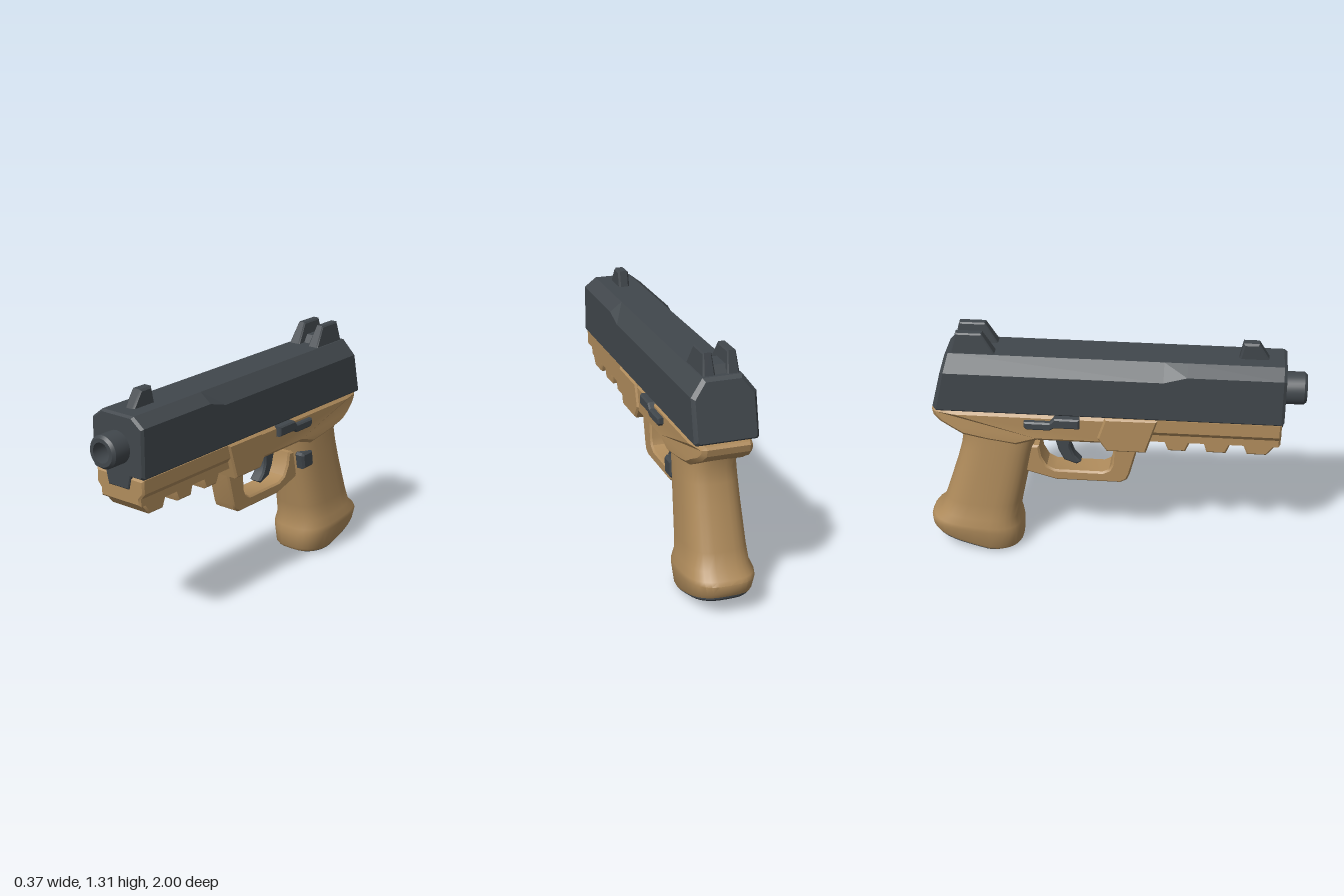
import * as THREE from 'three';
import { toCreasedNormals } from 'three/addons/utils/BufferGeometryUtils.js';

const material = (name, color) => {
  const m = new THREE.MeshStandardMaterial({ color });
  m.name = name;
  return m;
};

// Side profile of [z, y] points, extruded to a width across x with bevelled edges
function sideGeometry(points, width, bevel = 0.01) {
  const shape = new THREE.Shape(points.map(([z, y]) => new THREE.Vector2(z, y)));
  const depth = width - 2 * bevel;
  return new THREE.ExtrudeGeometry(shape, {
    depth, bevelEnabled: true, bevelSize: bevel, bevelThickness: bevel, bevelOffset: -bevel, bevelSegments: 1,
  }).translate(0, 0, -depth / 2).rotateY(-Math.PI / 2);
}

// Front section of [x, y] points, extruded from z0 to z1
function frontGeometry(points, z0, z1, bevel = 0.01) {
  const shape = new THREE.Shape(points.map(([x, y]) => new THREE.Vector2(x, y)));
  return new THREE.ExtrudeGeometry(shape, {
    depth: z1 - z0 - 2 * bevel, bevelEnabled: true, bevelSize: bevel, bevelThickness: bevel,
    bevelOffset: -bevel, bevelSegments: 1,
  }).translate(0, 0, z0 + bevel);
}

// Mirrors the right half of a section across x
const mirrored = (half) => [...half, ...half.map(([x, y]) => [-x, y]).reverse()];

// Moves x of every vertex by a rule
function reshapeX(geometry, rule) {
  const p = geometry.attributes.position;
  for (let i = 0; i < p.count; i++) p.setX(i, rule(p.getX(i), p.getY(i), p.getZ(i)));
  return geometry;
}

// Skin over rings of [x, y, z] points, closed by a fan at both ends
function loft(rings) {
  const n = rings[0].length, last = rings.length - 1;
  const position = rings.flat(2), index = [];
  for (let i = 0; i < last; i++) {
    for (let j = 0; j < n; j++) {
      const a = i * n + j, b = i * n + (j + 1) % n;
      index.push(a, b, b + n, a, b + n, a + n);
    }
  }
  for (const i of [0, last]) {
    const centre = position.length / 3;
    for (let k = 0; k < 3; k++) position.push(rings[i].reduce((s, p) => s + p[k], 0) / n);
    for (let j = 0; j < n; j++) {
      const a = i * n + j, b = i * n + (j + 1) % n;
      if (i === 0) index.push(centre, b, a);
      else index.push(centre, a, b);
    }
  }
  const g = new THREE.BufferGeometry();
  g.setAttribute('position', new THREE.Float32BufferAttribute(position, 3));
  g.setIndex(index);
  return g;
}

// Rounded grip ring; the part in front of the kink stays level
function gripRing([zFront, yFront, zBack, yBack, halfWidth], kink) {
  const ring = [], count = 32, power = 2 / 2.9;
  const round = (v) => Math.sign(v) * Math.abs(v) ** power;
  for (let i = 0; i < count; i++) {
    const a = (i / count) * Math.PI * 2;
    const c = round(Math.cos(a));
    const t = (1 - c) / 2;
    const rise = Math.max(0, (t - kink) / (1 - kink));
    ring.push([
      halfWidth * round(Math.sin(a)),
      yFront + (yBack - yFront) * rise,
      zFront + (zBack - zFront) * t,
    ]);
  }
  return ring;
}

export function createModel() {
  const model = new THREE.Group();
  const dark = material('dark gunmetal', 0x41474c);
  const tan = material('desert tan', 0xb08c5c);

  const add = (name, geometry, mat, x = 0, crease = 0.5) => {
    const mesh = new THREE.Mesh(toCreasedNormals(geometry, crease), mat);
    mesh.name = name;
    mesh.position.x = x;
    model.add(mesh);
  };

  // Slide: rear to front, [z, backward slant, chamfer height, scale]
  const slideRings = [
    [-0.86, 0.07, 1.125, 0.9], [-0.84, 0.07, 1.125, 1], [0.27, 0, 1.125, 1],
    [0.39, 0, 1.16, 1], [0.875, 0, 1.16, 1], [0.89, 0, 1.16, 0.94],
  ].map(([z, slant, chamfer, s]) =>
    mirrored([[0.155, 0.9], [0.165, 0.91], [0.165, chamfer], [0.1, 1.21]]).map(([x, y]) => [
      x * s, 1.05 + (y - 1.05) * s, z - slant * (1.21 - y) / 0.31,
    ]));
  add('slide', loft(slideRings), dark, 0, 0.15);
  add('slideTongue', frontGeometry(mirrored([[0.065, 0.835], [0.085, 0.92]]), 0.75, 0.89, 0.005), dark);

  // Barrel with an open bore
  const barrel = [[0.085, 0.85], [0.085, 0.985], [0.072, 1], [0.052, 1], [0.052, 0.91], [0, 0.91]];
  add('barrel', new THREE.LatheGeometry(barrel.map(([r, h]) => new THREE.Vector2(r, h)), 32)
    .rotateX(Math.PI / 2).translate(0, 1.04, 0), dark);

  // Sights
  add('frontSight', sideGeometry([[0.805, 1.2], [0.745, 1.295], [0.665, 1.295], [0.645, 1.2]], 0.06), dark);
  for (const side of [-1, 1]) {
    const blade = sideGeometry([[-0.595, 1.2], [-0.665, 1.317], [-0.8, 1.317], [-0.83, 1.2]], 0.066, 0.008);
    add('rearSightBlade', reshapeX(blade, (x, y) => x * (1 - 3 * (y - 1.2))), dark, side * 0.061);
  }
  add('rearSightBase', sideGeometry([[-0.64, 1.2], [-0.68, 1.25], [-0.79, 1.25], [-0.82, 1.2]], 0.1, 0.005), dark);

  // Dust cover and accessory rail
  add('dustCover', frontGeometry(
    mirrored([[0.13, 0.755], [0.13, 0.795], [0.155, 0.825], [0.155, 0.897]]), 0.18, 0.88), tan);
  for (const [a, b, c, d] of [[0.85, 0.81, 0.71, 0.69], [0.62, 0.6, 0.5, 0.485], [0.41, 0.39, 0.3, 0.28]]) {
    add('railTooth', sideGeometry([[a, 0.77], [a, 0.75], [b, 0.7], [c, 0.7], [d, 0.75], [d, 0.77]], 0.26), tan);
  }

  // Frame: wide middle block, and rear body narrowing towards the tang
  add('frameBlock', sideGeometry(
    [[0.245, 0.897], [0.185, 0.7], [-0.02, 0.7], [-0.07, 0.775], [-0.03, 0.897]], 0.33), tan);
  const rearBody = sideGeometry([
    [0, 0.897], [0, 0.735], [-0.39, 0.735], [-0.5, 0.7], [-0.65, 0.722], [-0.78, 0.75], [-0.84, 0.785],
    [-0.9, 0.815], [-0.935, 0.85], [-0.942, 0.885], [-0.93, 0.897], [-0.82, 0.897],
  ], 0.31, 0.02);
  add('rearFrame', reshapeX(rearBody, (x, y, z) => x * (1 - 1.6 * Math.max(0, -0.82 - z))), tan);

  // Trigger guard and trigger
  add('triggerGuard', sideGeometry([
    [0.15, 0.72], [0.095, 0.5], [0.08, 0.465], [0.045, 0.445], [-0.3, 0.445], [-0.46, 0.49], [-0.5, 0.62],
    [-0.46, 0.655], [-0.39, 0.655], [-0.38, 0.585], [-0.35, 0.53], [-0.305, 0.507], [-0.05, 0.507],
    [-0.015, 0.525], [0, 0.56], [0.01, 0.72],
  ], 0.14), tan);
  add('trigger', sideGeometry([
    [-0.2, 0.75], [-0.305, 0.75], [-0.305, 0.67], [-0.29, 0.61], [-0.26, 0.55], [-0.195, 0.527],
    [-0.17, 0.543], [-0.205, 0.58], [-0.225, 0.63], [-0.222, 0.68],
  ], 0.07), dark);

  // Grip: bottom to top, [front z, front y, back z, back y, half width]
  const gripRings = [
    [-0.51, 0.018, -0.985, 0.115, 0.155], [-0.497, 0.035, -0.998, 0.14, 0.165],
    [-0.493, 0.12, -1, 0.18, 0.18], [-0.498, 0.155, -0.985, 0.2, 0.18],
    [-0.51, 0.205, -0.942, 0.235, 0.165], [-0.492, 0.3, -0.91, 0.32, 0.157],
    [-0.45, 0.5, -0.84, 0.53, 0.148], [-0.425, 0.62, -0.81, 0.64, 0.143],
    [-0.405, 0.7, -0.797, 0.71, 0.14], [-0.39, 0.76, -0.81, 0.78, 0.138],
  ].map((r, i) => gripRing(r, i < 2 ? 0.3 : 0));
  add('grip', loft(gripRings), tan, 0, 0.7);
  const plateRings = [[-0.54, 0.003, -0.96, 0.085, 0.135], [-0.525, 0.01, -0.975, 0.1, 0.147],
    [-0.525, 0.04, -0.975, 0.14, 0.147]].map((r) => gripRing(r, 0.3));
  add('magazineBasePlate', loft(plateRings), dark);

  // Controls
  for (const side of [-1, 1]) {
    add('slideStop', sideGeometry([
      [-0.16, 0.892], [-0.29, 0.892], [-0.315, 0.866], [-0.45, 0.866], [-0.45, 0.835], [-0.435, 0.82],
      [-0.315, 0.82], [-0.29, 0.835], [-0.16, 0.835],
    ], 0.05, 0.008), dark, side * 0.158);
  }
  add('magazineRelease', sideGeometry(
    [[-0.42, 0.64], [-0.435, 0.56], [-0.515, 0.56], [-0.527, 0.575], [-0.515, 0.655], [-0.43, 0.655]],
    0.06, 0.012), dark, 0.113);

  return model;
}
